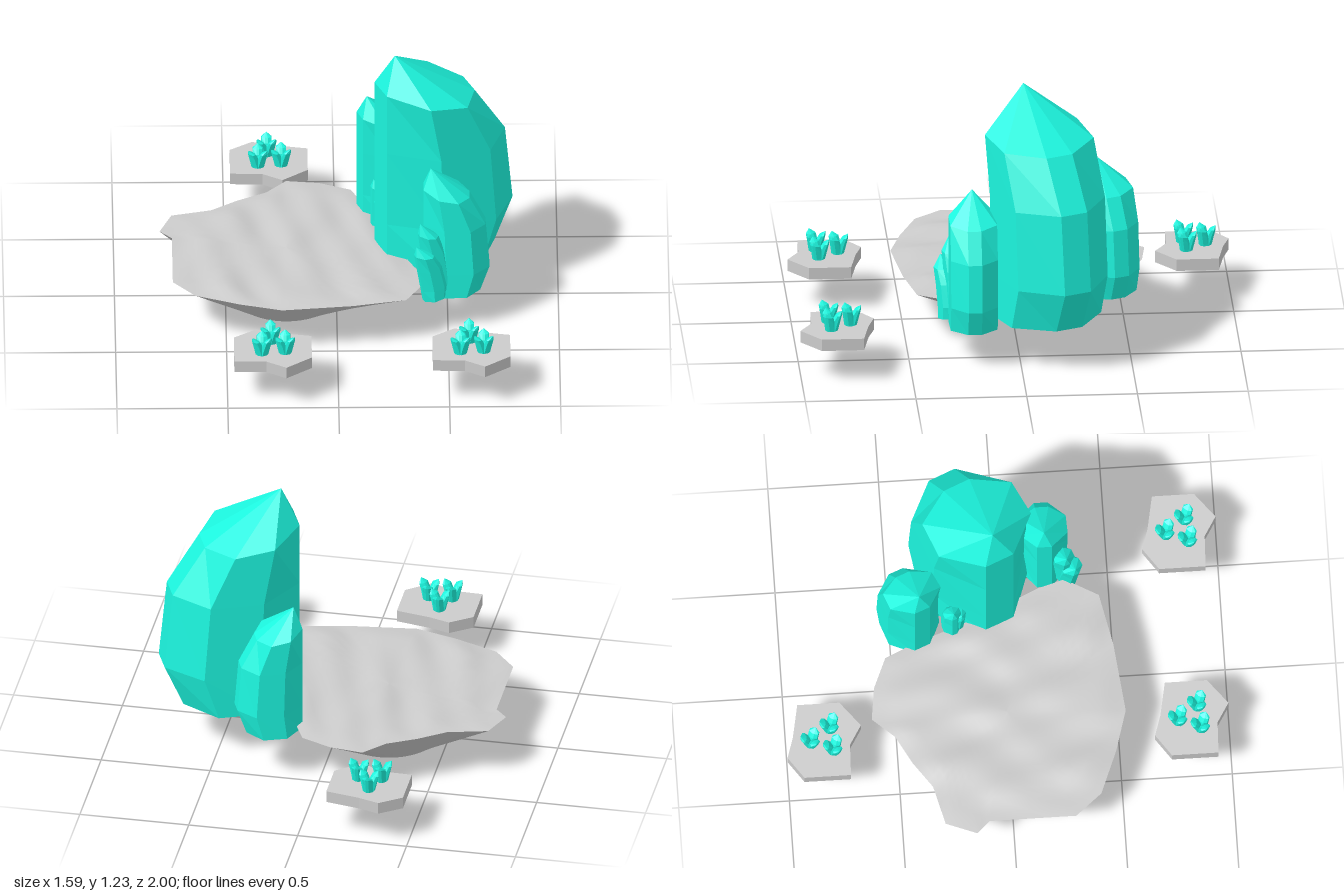
import * as THREE from 'three';

const rockMat = new THREE.MeshStandardMaterial({ color: 0xcccccc });
const crystalMat = new THREE.MeshStandardMaterial({ color: 0x1cf5de });

// Skin between closed rings of [x, y, z] points (clockwise seen from above, bottom ring first).
function loft(rings, smooth) {
  const n = rings[0].length, index = [], points = rings.flat();
  const same = (a, b) => points[a].every((v, k) => Math.abs(v - points[b][k]) < 1e-6);
  const tri = (a, b, c) => { if (!same(a, b) && !same(b, c) && !same(a, c)) index.push(a, b, c); };
  for (let r = 0; r < rings.length - 1; r++) {
    for (let i = 0; i < n; i++) {
      const j = (i + 1) % n, a = r * n + i, b = r * n + j;
      tri(a, a + n, b + n);
      tri(a, b + n, b);
    }
  }
  let geo = new THREE.BufferGeometry();
  geo.setAttribute('position', new THREE.Float32BufferAttribute(points.flat(), 3));
  geo.setIndex(index);
  if (!smooth) geo = geo.toNonIndexed();
  geo.computeVertexNormals();
  return geo;
}

function addMesh(parent, name, geo, mat) {
  const mesh = new THREE.Mesh(geo, mat);
  mesh.name = name;
  parent.add(mesh);
  return mesh;
}

// Eight-sided crystal: upright on its inner side (x = 0), bulging towards +x, with a pointed tip.
function crystalGeometry() {
  const half = [[0, 0.07], [0.21, 0.232], [0.47, 0.225], [0.62, 0.065]];
  const foot = [...half.map(([u, v]) => [u, -v]), ...half.slice().reverse()];
  const ring = (scale, height) => foot.map(([u, v]) => [u * scale, height(u * scale), v]);
  const point = (x, y) => foot.map(() => [x, y, 0]);
  return loft([
    point(0.27, 0),
    ring(0.86, () => 0),
    ring(1, () => 0.2),
    ring(0.94, () => 0.57),
    ring(0.7, (u) => 0.87 - 0.16 * u),
    point(0.07, 1.03),
  ], false);
}

// Main island: irregular rim, tapering to a round base, with a rippled top.
function addIsland(parent) {
  const cx = -0.225, rimY = 0.235, baseR = 0.235;
  const outline = [
    [-0.22, -0.61], [-0.07, -0.59], [0.07, -0.53], [0.13, -0.4], [0.2, -0.2], [0.28, 0],
    [0.36, 0.18], [0.395, 0.3], [0.31, 0.45], [0.07, 0.5], [-0.25, 0.535], [-0.44, 0.48],
    [-0.64, 0.4], [-0.74, 0.28], [-0.74, -0.11], [-0.795, -0.17], [-0.74, -0.31],
    [-0.56, -0.355], [-0.44, -0.44], [-0.31, -0.51],
  ];
  const rim = [];
  outline.forEach(([x, z], i) => {
    const [x2, z2] = outline[(i + 1) % outline.length];
    for (let k = 0; k < 4; k++) rim.push([x + (x2 - x) * k / 4, z + (z2 - z) * k / 4]);
  });

  const base = rim.map(([x, z]) => {
    const a = Math.atan2(z, x - cx);
    return [cx + baseR * Math.cos(a), 0, baseR * Math.sin(a)];
  });
  const edge = rim.map(([x, z]) => [x, rimY, z]);
  addMesh(parent, 'islandSide', loft([base, edge], true), rockMat);
  addMesh(parent, 'islandBase', loft([base.map(() => [cx, 0, 0]), base], false), rockMat);

  const ripple = (x, z) => 0.008
    + 0.009 * Math.sin(19 * x + 2 * Math.sin(5 * z)) * Math.cos(6 * z + 1)
    + 0.005 * Math.sin(31 * x - 9 * z + 1);
  const topRings = [];
  for (let r = 0; r <= 14; r++) {
    const t = 1 - r / 14, fade = Math.min(1, (1 - t) * 6);
    topRings.push(rim.map(([rx, rz]) => {
      const x = cx + (rx - cx) * t, z = rz * t;
      return [x, rimY + fade * ripple(x, z), z];
    }));
  }
  addMesh(parent, 'islandTop', loft(topRings, true), rockMat);
}

// Small flat floating rock.
function slabGeometry() {
  const outline = [
    [-0.175, -0.1], [-0.075, -0.17], [0.02, -0.14], [0.175, -0.11],
    [0.175, 0.08], [0.06, 0.17], [-0.03, 0.115], [-0.175, 0.11],
  ];
  const at = (y) => outline.map(([x, z]) => [x, y, z]);
  const mid = (y) => outline.map(() => [0, y, 0]);
  return loft([mid(0), at(0), at(0.055), mid(0.055)], false);
}

export function createModel() {
  const model = new THREE.Group();
  model.name = 'crystalIslands';
  addIsland(model);

  const crystalGeo = crystalGeometry(), slabGeo = slabGeometry();
  const addCrystal = (parent, name, position, heading, scale, tilt = 0) => {
    const crystal = addMesh(parent, name, crystalGeo, crystalMat);
    crystal.position.set(...position);
    crystal.rotation.set(0, heading, tilt, 'YZX');
    crystal.scale.set(...scale);
  };

  // Large crystals along the island's edge
  addCrystal(model, 'mainCrystal', [0.2, 0.2, -0.005], 0.4, [1, 1, 1]);
  addCrystal(model, 'backCrystal', [0.11, 0.21, -0.36], 0.38, [0.48, 0.59, 0.54]);
  addCrystal(model, 'frontCrystal', [0.39, 0.165, 0.21], 0, [0.48, 0.6, 0.47]);

  // Shards beside them
  addCrystal(model, 'frontShard', [0.39, 0.165, 0.335], 0.4, [0.2, 0.28, 0.2], 0.17);
  addCrystal(model, 'frontShard', [0.405, 0.2, 0.3], 0.3, [0.2, 0.34, 0.2], 0.13);
  addCrystal(model, 'backShard', [0.16, 0.22, -0.21], 0.3, [0.16, 0.25, 0.17]);
  addCrystal(model, 'backShard', [0.19, 0.22, -0.18], 0.6, [0.16, 0.18, 0.15], 0.1);

  // Floating rocks, each with three tufts of three outward-leaning shards
  const tufts = [[-0.01, -0.06], [-0.05, 0.04], [0.055, 0.03]];
  for (const [x, z] of [[-0.295, 0.83], [0.6, 0.83], [-0.295, -0.83]]) {
    const rock = new THREE.Group();
    rock.name = 'floatingRock';
    rock.position.set(x, 0.155, z);
    addMesh(rock, 'slab', slabGeo, rockMat);
    for (const [tx, tz] of tufts) {
      for (let k = 0; k < 3; k++) {
        const a = -Math.PI / 2 + k * Math.PI * 2 / 3;
        const base = [tx + 0.025 * Math.cos(a), 0.04, tz + 0.025 * Math.sin(a)];
        addCrystal(rock, 'tinyShard', base, Math.PI - a, [0.06, 0.105, 0.1], 0.25);
      }
    }
    model.add(rock);
  }
  return model;
}
